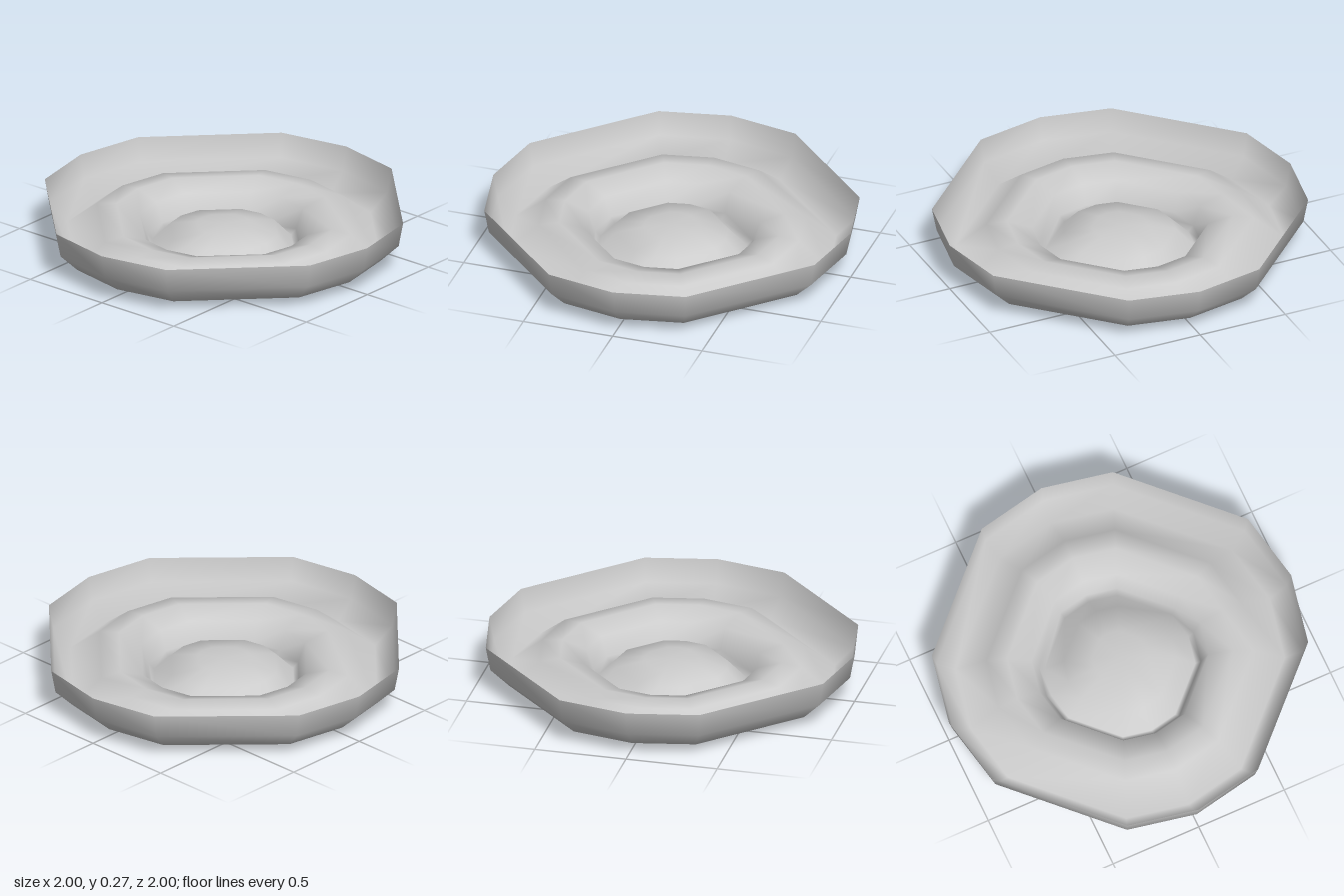
import * as THREE from 'three';
import { mergeVertices } from 'three/addons/utils/BufferGeometryUtils.js';

// Section from the rim, through the outer trough, raised ring and foot, to the central dome
const PROFILE = [
  [1, 0.267], [0.975, 0.135], [0.875, 0.038], [0.71, 0.167], [0.6, 0.18],
  [0.47, 0.137], [0.43, 0.028], [0.4, 0], [0.3, 0.105], [0.15, 0.135], [0, 0.14],
];

// Corners sit on the four axes and 22.5 degrees either side of them
const cornerAngle = (i) => (Math.floor(i / 3) * 90 + [0, 22.5, 67.5][i % 3]) * Math.PI / 180;

function dishGeometry() {
  const points = PROFILE.map(([r, y]) => new THREE.Vector2(r, y)).reverse();
  const geometry = new THREE.LatheGeometry(points, 12);
  const position = geometry.attributes.position;
  for (let k = 0; k < position.count; k++) {
    const angle = cornerAngle(Math.floor(k / points.length));
    const { x: r, y } = points[k % points.length];
    position.setXYZ(k, r * Math.sin(angle), y, r * Math.cos(angle));
  }
  // Weld the seam so the shading runs smoothly around
  geometry.deleteAttribute('uv');
  geometry.deleteAttribute('normal');
  const welded = mergeVertices(geometry, 1e-4);
  welded.computeVertexNormals();
  return welded;
}

export function createModel() {
  const group = new THREE.Group();
  group.name = 'dish';
  const material = new THREE.MeshStandardMaterial({ color: 0xcccccc, side: THREE.DoubleSide });
  const dish = new THREE.Mesh(dishGeometry(), material);
  dish.name = 'dishShell';
  group.add(dish);
  return group;
}
